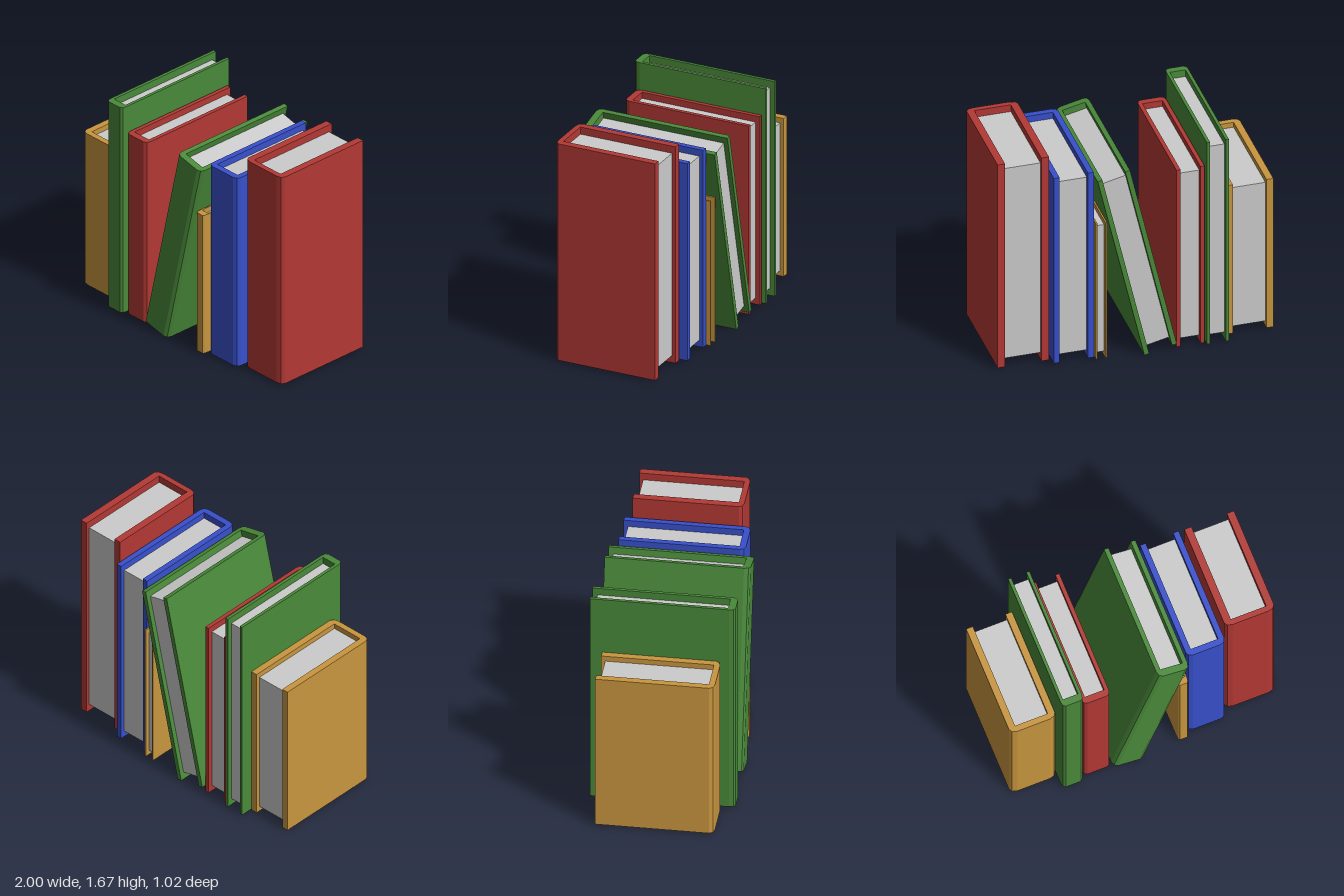
import * as THREE from 'three';

const TAN = 0xc8963f, GREEN = 0x4a8a3a, RED = 0xb33935, BLUE = 0x3850cc;

// name, colour, centre x, base y, width, height, back z, front z, lean
const BOOKS = [
  ['shortWideBook', TAN, -0.828, 0.01, 0.345, 1.215, -0.425, 0.413, 0],
  ['tallThinBook', GREEN, -0.57, 0.01, 0.16, 1.65, -0.513, 0.512, 0],
  ['mediumBook', RED, -0.378, 0.01, 0.205, 1.447, -0.488, 0.48, 0],
  ['leaningBook', GREEN, -0.152, 0.027, 0.241, 1.518, -0.513, 0.512, -0.226],
  ['smallThinBook', TAN, 0.27, 0.01, 0.08, 1.11, -0.483, 0.483, 0],
  ['blueBook', BLUE, 0.461, 0.01, 0.29, 1.514, -0.45, 0.443, 0],
  ['tallWideBook', RED, 0.813, 0.01, 0.374, 1.663, -0.395, 0.386, 0],
];

// U-shaped binding: two boards joined by a spine with softened corners
function coverGeometry(w, h, d, board, spine) {
  const x = w / 2, f = -d / 2, b = d / 2, rx = board, rz = spine * 0.8;
  const half = [
    [x, b], [x - board, b], [x - board, f + spine],
  ];
  const corner = [[x - rx, f], [x - 0.29 * rx, f + 0.29 * rz], [x, f + rz]];
  const mirror = (pts) => pts.map(([px, py]) => [-px, py]).reverse();
  const outline = [...half, ...mirror(half), ...mirror(corner), ...corner];
  const shape = new THREE.Shape(outline.map(([px, py]) => new THREE.Vector2(px, py)));
  const geometry = new THREE.ExtrudeGeometry(shape, { depth: h, bevelEnabled: false });
  return geometry.rotateX(-Math.PI / 2);
}

function makeBook([name, color, x, y, w, h, back, front, lean]) {
  const d = front - back;
  const board = w * 0.145, spine = d * 0.052, foreEdge = d * 0.034, inset = h * 0.033;
  const book = new THREE.Group();
  book.name = name;

  const cover = new THREE.Mesh(
    coverGeometry(w, h, d, board, spine),
    new THREE.MeshStandardMaterial({ color, flatShading: true }),
  );
  cover.name = 'cover';

  // Page block, set back from the cover's top, bottom and open edge
  const pages = new THREE.Mesh(
    new THREE.BoxGeometry(w - 2 * board, h - 2 * inset, d - spine - foreEdge),
    new THREE.MeshStandardMaterial({ color: 0xcccccc, flatShading: true }),
  );
  pages.name = 'pages';
  pages.position.set(0, h / 2, (foreEdge - spine) / 2);

  book.add(cover, pages);
  book.position.set(x, y, (front + back) / 2);
  book.rotation.z = lean;
  return book;
}

export function createModel() {
  const model = new THREE.Group();
  model.name = 'rowOfBooks';
  BOOKS.forEach((spec) => model.add(makeBook(spec)));
  return model;
}
